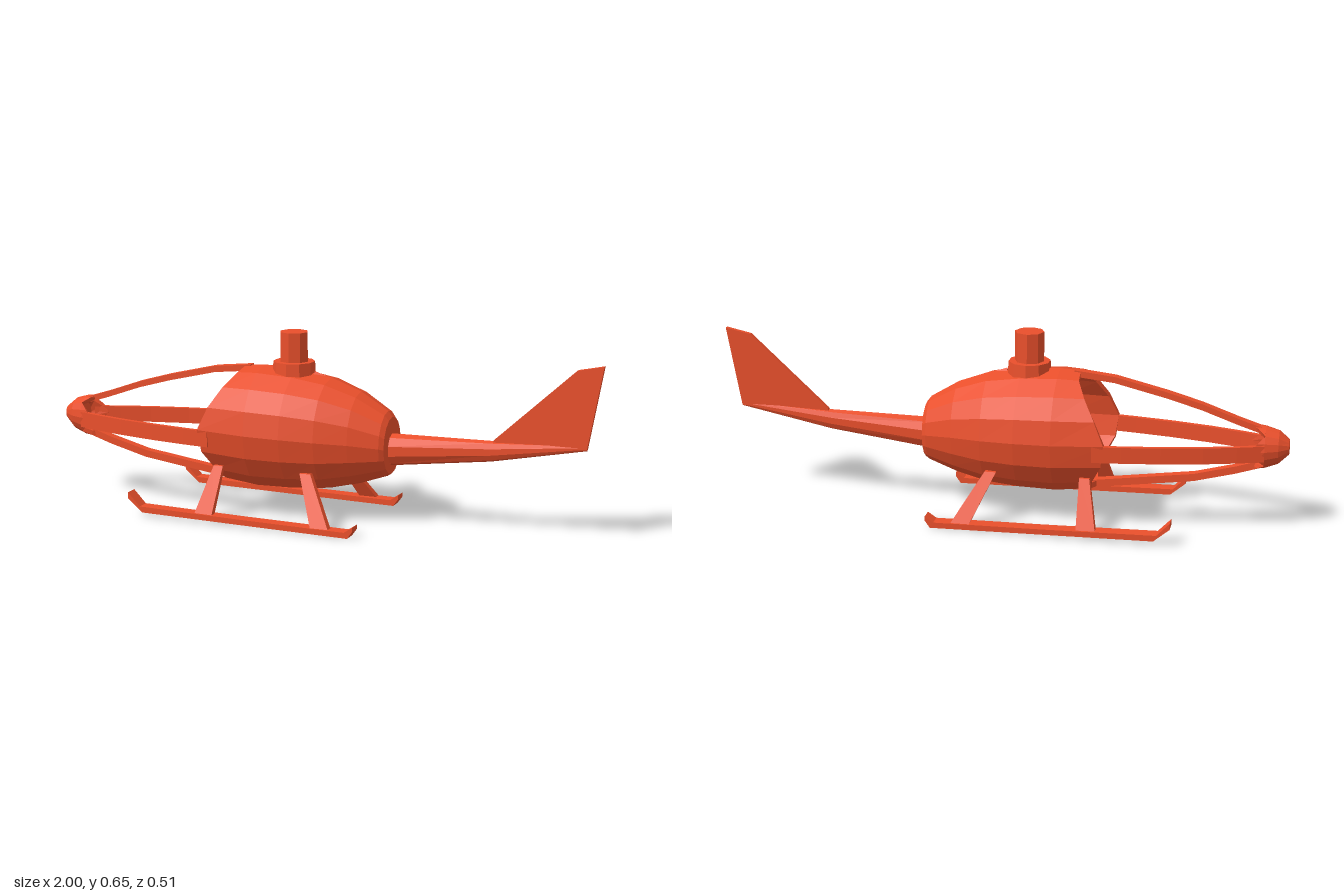
import * as THREE from 'three';

const paint = new THREE.MeshStandardMaterial({ color: 0xe94f2b, flatShading: true, side: THREE.DoubleSide });

// Skin a list of equal-length point rings, with both ends capped
function loft(rings) {
  const n = rings[0].length;
  const centre = r => [0, 1, 2].map(k => r.reduce((s, p) => s + p[k], 0) / n);
  const all = [Array(n).fill(centre(rings[0])), ...rings, Array(n).fill(centre(rings[rings.length - 1]))];
  const pos = [];
  for (let i = 0; i < all.length - 1; i++) {
    for (let j = 0; j < n; j++) {
      const k = (j + 1) % n;
      const a = all[i][j], b = all[i][k], c = all[i + 1][j], d = all[i + 1][k];
      if (i > 0) pos.push(...a, ...b, ...c);
      if (i < all.length - 2) pos.push(...b, ...d, ...c);
    }
  }
  const g = new THREE.BufferGeometry();
  g.setAttribute('position', new THREE.Float32BufferAttribute(pos, 3));
  g.computeVertexNormals();
  return g;
}

// Oval ring across the x axis; x may be a function of the side index
function oval(x, cy, ry, rz, n = 16) {
  return Array.from({ length: n }, (_, j) => {
    const a = (j / n) * Math.PI * 2;
    return [typeof x === 'function' ? x(j) : x, cy + ry * Math.cos(a), rz * Math.sin(a)];
  });
}

export function createModel() {
  const model = new THREE.Group();
  const add = (name, geometry, parent = model) => {
    const mesh = new THREE.Mesh(geometry, paint);
    mesh.name = name;
    parent.add(mesh);
    return mesh;
  };

  // Hollow cabin: inner wall from back to front, then outer wall back to the tail
  const rimX = [-0.28, -0.285, -0.315, -0.355, -0.39, -0.38, -0.345, -0.335, -0.345];
  const rim = j => rimX[j <= 8 ? j : 16 - j];
  const hull = [
    [rim, 0.313, 0.208, 0.189],
    [-0.21, 0.308, 0.217, 0.203],
    [-0.08, 0.305, 0.212, 0.198],
    [0.04, 0.3, 0.197, 0.178],
    [0.15, 0.293, 0.163, 0.142],
    [0.25, 0.28, 0.115, 0.1],
    [0.265, 0.275, 0.1, 0.088],
  ];
  const inner = hull.slice(0, 5).reverse().map(([x, c, ry, rz]) => oval(x, c, ry - 0.02, rz - 0.02));
  add('cabin', loft([...inner, ...hull.map(r => oval(...r))]));

  // Nose cap: shell with a scalloped back edge where the window bars join
  const lip = j => -0.895 + 0.025 * Math.cos(j * Math.PI / 2);
  add('noseCap', loft([
    oval(-1, 0.295, 0.026, 0.028),
    oval(-0.965, 0.292, 0.058, 0.052),
    oval(-0.92, 0.29, 0.073, 0.067),
    oval(lip, 0.29, 0.076, 0.073),
    oval(lip, 0.29, 0.06, 0.058),
    oval(-0.935, 0.29, 0.045, 0.045),
  ]));

  // Window bars: [x, distance from axis] paths, swept at a quarter turn each
  const sidePath = [[-0.92, 0.064], [-0.83, 0.095], [-0.72, 0.127], [-0.58, 0.158], [-0.45, 0.179], [-0.35, 0.192]];
  const bars = [
    ['topBar', 0, 0.016, 0.022, 0.29, [[-0.93, 0.064], [-0.83, 0.096], [-0.7, 0.142], [-0.58, 0.176], [-0.4, 0.219], [-0.26, 0.234]]],
    ['leftBar', 1, 0.028, 0.018, 0.283, sidePath],
    ['bottomBar', 2, 0.016, 0.026, 0.29, [[-0.92, 0.068], [-0.82, 0.1], [-0.68, 0.137], [-0.5, 0.162], [-0.32, 0.187]]],
    ['rightBar', 3, 0.028, 0.018, 0.283, sidePath],
  ];
  for (const [name, quarter, half, thick, cy, path] of bars) {
    const c = Math.round(Math.cos(quarter * Math.PI / 2));
    const s = Math.round(Math.sin(quarter * Math.PI / 2));
    add(name, loft(path.map(([x, r]) =>
      [[r, -half], [r, half], [r - thick, half], [r - thick, -half]]
        .map(([u, v]) => [x, cy + u * c - v * s, u * s + v * c]))));
  }

  // Tail boom and swept fin
  add('tailBoom', loft([
    oval(0.24, 0.259, 0.058, 0.046, 10),
    oval(0.62, 0.285, 0.036, 0.023, 10),
    oval(0.95, 0.323, 0.009, 0.007, 10),
  ]));
  const slab = (points, depth) => {
    const g = new THREE.ExtrudeGeometry(
      new THREE.Shape(points.map(p => new THREE.Vector2(...p))), { depth, bevelEnabled: false });
    return g.translate(0, 0, -depth / 2);
  };
  add('tailFin', slab([[0.62, 0.3], [0.95, 0.318], [1, 0.602], [0.91, 0.583], [0.63, 0.325]], 0.016));

  // Rotor mast on its collar, with a small vent behind
  add('mastCollar', new THREE.CylinderGeometry(0.073, 0.077, 0.065, 10).translate(-0.1, 0.5135, 0));
  add('mast', new THREE.CylinderGeometry(0.051, 0.051, 0.115, 8).translate(-0.1, 0.5925, 0));
  add('roofVent', new THREE.ConeGeometry(0.02, 0.06, 4).rotateZ(-Math.PI / 2).translate(0.008, 0.495, 0));

  // Landing gear, mirrored left and right
  const skid = [[-0.63, 0.082], [-0.585, 0.035], [-0.2, 0.026], [0.185, 0.02], [0.215, 0.04],
    [0.215, 0.025], [0.197, 0], [-0.2, 0.007], [-0.575, 0.014], [-0.63, 0.06]];
  const legs = [
    ['frontLeg', [-0.34, -0.305], [-0.377, -0.31]],
    ['rearLeg', [-0.015, 0.025], [0.06, 0.125]],
  ];
  for (const [label, s] of [['left', 1], ['right', -1]]) {
    const gear = new THREE.Group();
    gear.name = label + 'LandingGear';
    model.add(gear);
    add('skid', slab(skid, 0.048), gear).position.z = s * 0.231;
    for (const [name, top, foot] of legs) {
      const ring = ([x0, x1], y, z, t) =>
        [[x1, y, z - t], [x1, y, z + t], [x0, y, z + t], [x0, y, z - t]];
      add(name, loft([ring(top, 0.185, s * 0.15, 0.01), ring(foot, 0.022, s * 0.238, 0.013)]), gear);
    }
  }
  return model;
}
